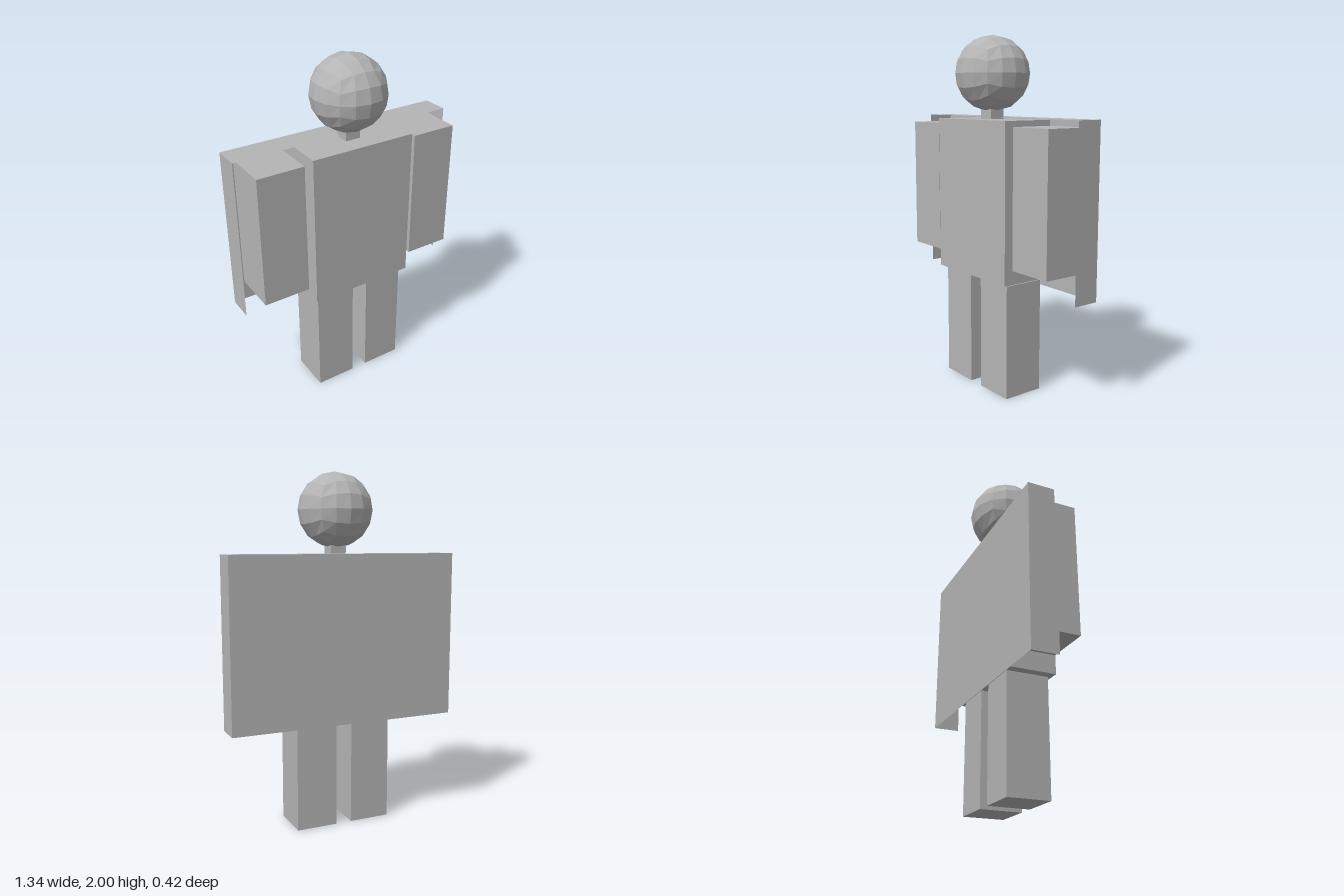
import * as THREE from 'three';

export function createModel() {
  const group = new THREE.Group();
  const grey = new THREE.MeshStandardMaterial({ color: 0xb4b4b4, flatShading: true, side: THREE.DoubleSide });
  grey.name = 'grey';

  const add = (name, geometry, x, y, z) => {
    const mesh = new THREE.Mesh(geometry, grey);
    mesh.name = name;
    mesh.position.set(x, y, z);
    group.add(mesh);
    return mesh;
  };
  // Box from its side, bottom, top and half depth
  const block = (name, x, width, y0, y1, depth) =>
    add(name, new THREE.BoxGeometry(width, y1 - y0, depth), x, (y0 + y1) / 2, 0);

  // Head: a cube with four segments per edge, rounded to a sphere at equal angles
  const head = new THREE.BoxGeometry(2, 2, 2, 4, 4, 4);
  const p = head.attributes.position;
  const v = new THREE.Vector3();
  for (let i = 0; i < p.count; i++) {
    v.fromBufferAttribute(p, i);
    v.set(...v.toArray().map((c) => Math.tan(c * Math.PI / 4))).setLength(0.21);
    p.setXYZ(i, v.x, v.y, v.z);
  }
  head.computeVertexNormals();
  add('head', head, 0, 1.79, 0);

  // Body
  block('neck', 0, 0.09, 1.52, 1.62, 0.09);
  block('torso', 0, 0.62, 0.66, 1.54, 0.31);
  for (const [side, s] of [['left', 1], ['right', -1]]) {
    block(side + 'Arm', s * 0.482, 0.27, 0.75, 1.51, 0.265);
    block(side + 'Leg', s * 0.166, 0.237, 0, 0.648, 0.24);
  }

  // Cape: back, top and two side panels, open at the front and bottom
  const w = 1.34, h = 0.95, d = 0.153, midY = 1.075, midZ = -0.0955;
  add('capeBack', new THREE.PlaneGeometry(w, h), 0, midY, midZ - d / 2).rotation.y = Math.PI;
  add('capeTop', new THREE.PlaneGeometry(w, d), 0, midY + h / 2, midZ).rotation.x = -Math.PI / 2;
  for (const [side, s] of [['Left', 1], ['Right', -1]]) {
    add('cape' + side, new THREE.PlaneGeometry(d, h), s * w / 2, midY, midZ).rotation.y = s * Math.PI / 2;
  }
  return group;
}
